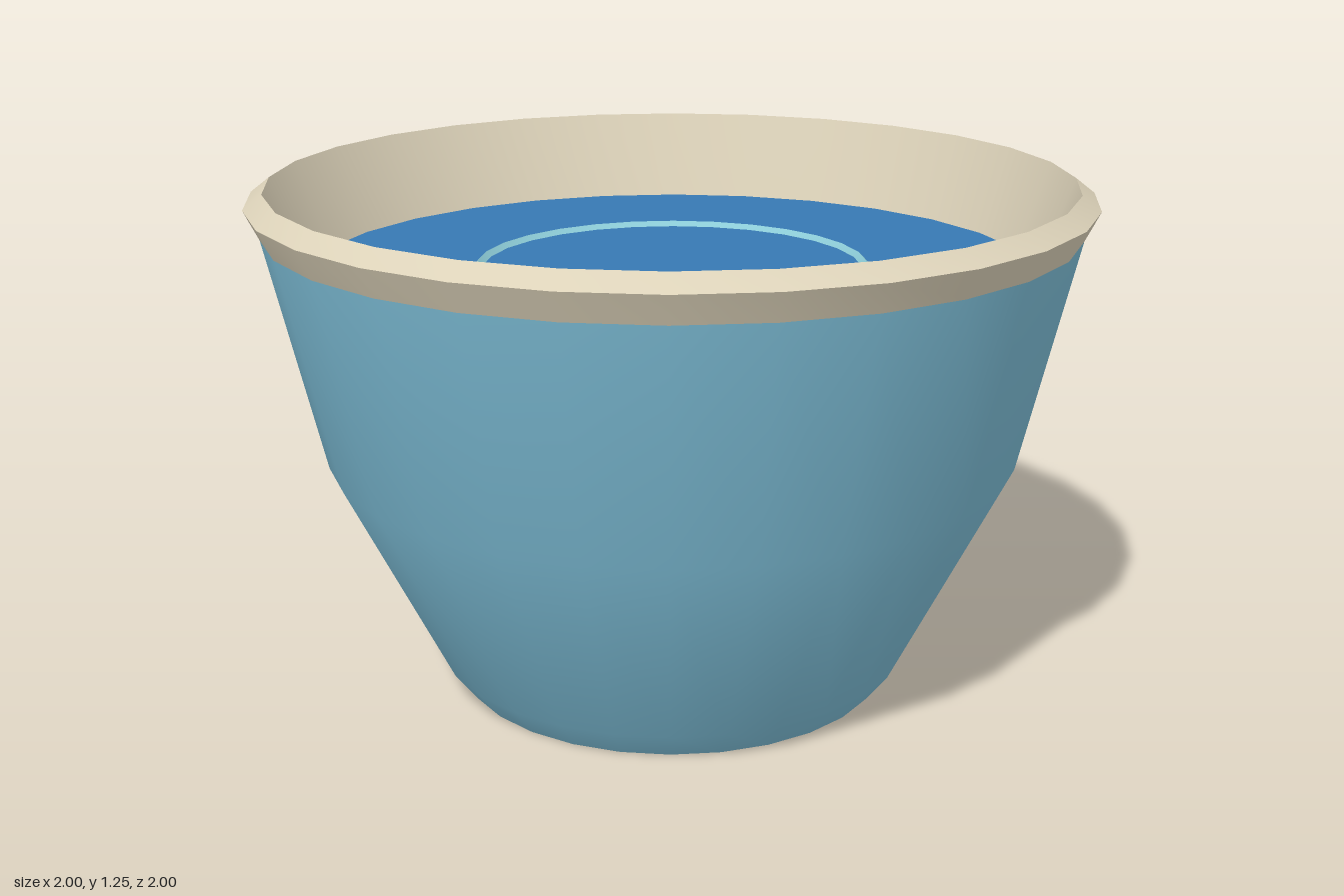
import * as THREE from 'three';
import { toCreasedNormals } from 'three/addons/utils/BufferGeometryUtils.js';

const SIDES = 28;
const WATER_Y = 1.03;

function material(name, color) {
  const m = new THREE.MeshStandardMaterial({ color });
  m.name = name;
  return m;
}

// Revolved shell, smooth around its sides and sharp at strong profile bends
function turned(profile) {
  const points = profile.map(([r, y]) => new THREE.Vector2(r, y));
  return toCreasedNormals(new THREE.LatheGeometry(points, SIDES), 0.6);
}

export function createModel() {
  const group = new THREE.Group();
  group.name = 'bowlOfWater';

  const glaze = material('glazeBlue', 0x7cbcd5);
  const clay = material('clayCream', 0xdcd2b9);
  const water = material('waterBlue', 0x3778b3);
  const foam = material('rippleAqua', 0x8ccbd6);

  const add = (name, geometry, mat) => {
    const mesh = new THREE.Mesh(geometry, mat);
    mesh.name = name;
    group.add(mesh);
    return mesh;
  };

  // Glazed outer wall and flat foot
  add('bowlBody', turned([[0.525, 0], [0.58, 0.07], [0.835, 0.58], [0.965, 1.14]]), glaze);
  add('bowlBase', new THREE.CircleGeometry(0.525, SIDES).rotateX(Math.PI / 2), glaze);

  // Flared rim, lip and inner wall running down past the water
  add('rimAndInnerWall', turned([
    [0.965, 1.14], [1, 1.21], [0.955, 1.245], [0.875, WATER_Y], [0.85, 0.96],
  ]), clay);

  // Water surface with one raised ripple ring
  add('waterSurface', new THREE.CircleGeometry(0.875, SIDES).rotateX(-Math.PI / 2), water)
    .position.y = WATER_Y;
  const ring = new THREE.TorusGeometry(0.467, 0.012, 4, SIDES).rotateX(-Math.PI / 2);
  add('rippleRing', toCreasedNormals(ring, 0.6), foam).position.y = WATER_Y;

  return group;
}
